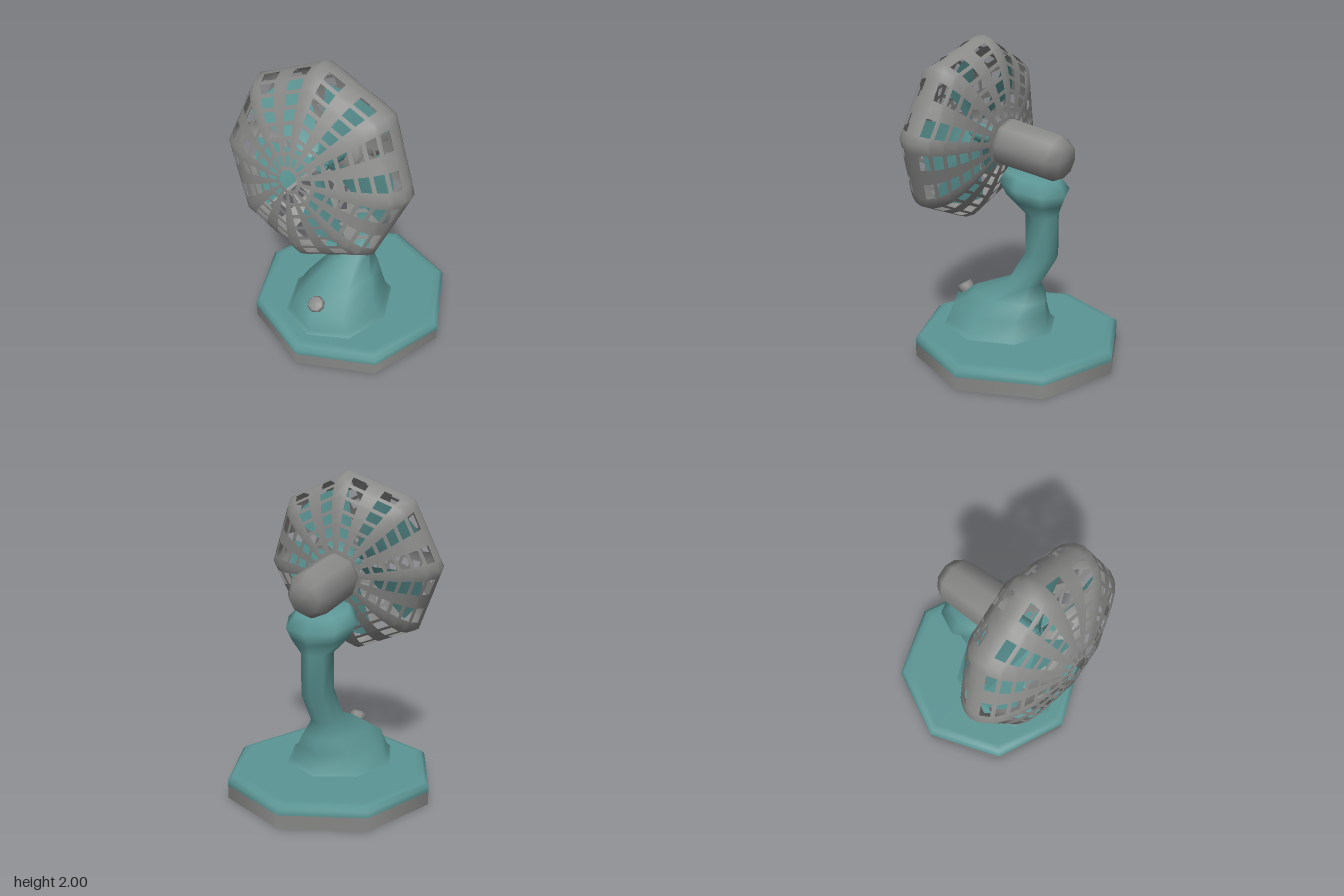
import * as THREE from 'three';

const SIDES = 8;
const teal = new THREE.MeshStandardMaterial({ color: 0x5b9594, side: THREE.DoubleSide });
teal.name = 'teal enamel';
const grey = new THREE.MeshStandardMaterial({ color: 0x898988, side: THREE.DoubleSide });
grey.name = 'grey metal';

function part(parent, name, geometry, material) {
  const mesh = new THREE.Mesh(geometry, material);
  mesh.name = name;
  parent.add(mesh);
  return mesh;
}

const lathe = (points) =>
  new THREE.LatheGeometry(points.map(([r, y]) => new THREE.Vector2(r, y)), SIDES);

// Skins closed rings of [x, y, z] points; isHole(ring, column) leaves openings
function loft(rings, isHole = () => false) {
  const n = rings[0].length;
  const index = [];
  for (let i = 0; i < rings.length - 1; i++) {
    for (let j = 0; j < n; j++) {
      if (isHole(i, j)) continue;
      const a = i * n + j, b = i * n + (j + 1) % n;
      index.push(a, b, b + n, a, b + n, a + n);
    }
  }
  const geometry = new THREE.BufferGeometry();
  geometry.setAttribute('position', new THREE.Float32BufferAttribute(rings.flat(2), 3));
  geometry.setIndex(index);
  geometry.computeVertexNormals();
  return geometry;
}

// Lens-shaped octagonal guard with sixteen columns of slots
function cageGeometry() {
  const half = [[0.06, 0.28], [0.2, 0.257], [0.4, 0.2], [0.545, 0.115]];
  const profile = new THREE.CatmullRomCurve3([
    ...half.map(([r, z]) => new THREE.Vector3(r, 0, z)),
    new THREE.Vector3(0.6, 0, 0),
    ...half.slice().reverse().map(([r, z]) => new THREE.Vector3(r, 0, -z)),
  ]);

  // Alternating bars and slots along the profile, with a solid rim
  const slots = 7, bar = 0.019, stops = [0];
  const pitch = 0.46 / slots;
  for (let k = 0; k < slots; k++) stops.push(k * pitch + bar, (k + 1) * pitch);
  const all = [...stops, 0.5, ...stops.map((u) => 1 - u).reverse()];
  const last = all.length - 2;

  const angles = [];
  for (let k = 0; k < 16; k++) {
    for (const f of [0, 0.25, 0.75]) angles.push((k + f) * Math.PI / 8);
  }
  const rings = all.map((u) => {
    const p = profile.getPointAt(u);
    return angles.map((a) => {
      const side = a % (Math.PI / 4) - Math.PI / 8;
      const r = p.x * Math.cos(Math.PI / 8) / Math.cos(side);
      return [r * Math.sin(a), r * Math.cos(a), p.z];
    });
  });
  return loft(rings, (i, j) => {
    const row = Math.min(i, last - i);
    return j % 3 === 1 && row % 2 === 1 && row < slots * 2;
  });
}

// Broad pitched blade cut from a ring
function bladeGeometry(spread) {
  const geometry = new THREE.RingGeometry(0.05, 0.49, 8, 4, -spread / 2, spread);
  const p = geometry.attributes.position;
  for (let i = 0; i < p.count; i++) {
    p.setZ(i, 0.3 * Math.atan2(p.getY(i), p.getX(i)) * (0.2 + 0.5 * p.getX(i)));
  }
  geometry.computeVertexNormals();
  return geometry;
}

export function createModel() {
  const model = new THREE.Group();
  model.name = 'deskFan';
  const fan = new THREE.Group();
  fan.name = 'turnedFan';
  fan.position.set(0.033, 0, -0.02);
  fan.rotation.y = -0.664;
  model.add(fan);

  // Octagonal base
  part(fan, 'baseBand', lathe([[0.673, 0], [0.673, 0.085]]), grey);
  part(fan, 'baseTop', lathe([
    [0.673, 0.085], [0.673, 0.12], [0.645, 0.143], [0.6, 0.147], [0, 0.147],
  ]), teal);
  part(fan, 'baseUnderside', lathe([[0, 0.001], [0.673, 0.001]]), teal);

  // Foot, bent neck and tilted cup: height, centre z, half depth, half width, slope
  const sections = [
    [0.14, 0.15, 0.40, 0.36, 0],
    [0.17, 0.155, 0.365, 0.32, 0],
    [0.27, 0.15, 0.35, 0.265, 0],
    [0.365, 0.07, 0.27, 0.19, 0],
    [0.475, -0.045, 0.105, 0.105, 0.15],
    [0.68, -0.17, 0.105, 0.105, 0.15],
    [0.94, -0.17, 0.105, 0.105, 0.1],
    [1.04, -0.12, 0.175, 0.195, 0.25],
    [1.12, -0.115, 0.215, 0.23, 0.25],
    [1.185, -0.10, 0.17, 0.17, 0.2],
    [1.195, -0.10, 0, 0, 0],
  ];
  const rings = sections.map(([y, z, depth, width, slope]) =>
    Array.from({ length: SIDES }, (_, j) => {
      const a = j / SIDES * Math.PI * 2;
      const dz = depth * Math.cos(a);
      return [width * Math.sin(a), y + slope * dz, z + dz];
    }));
  part(fan, 'neck', loft(rings), teal);

  // Control knob on the sloping foot
  const knob = part(fan, 'knob', lathe([
    [0.045, -0.04], [0.057, 0.005], [0.045, 0.025], [0, 0.027],
  ]), grey);
  knob.position.set(0, 0.33, 0.43);
  knob.rotation.x = 0.6;

  // Tilted head carrying motor, guard and blades
  const head = new THREE.Group();
  head.name = 'head';
  head.position.set(0, 1.41, 0.363);
  head.rotation.x = -0.18;
  fan.add(head);

  part(head, 'motor', lathe([
    [0, -0.715], [0.1, -0.71], [0.145, -0.64], [0.152, -0.3], [0.13, -0.22], [0, -0.21],
  ]).rotateX(Math.PI / 2), grey);
  part(head, 'cage', cageGeometry(), grey);
  part(head, 'bladeHub',
    new THREE.CylinderGeometry(0.06, 0.06, 0.2, SIDES).rotateX(Math.PI / 2).translate(0, 0, -0.12), teal);

  const count = 5;
  for (let k = 0; k < count; k++) {
    const blade = part(head, 'blade', bladeGeometry(0.85), teal);
    blade.rotation.z = k / count * Math.PI * 2 - 0.17;
    blade.position.z = -0.02;
  }
  return model;
}
